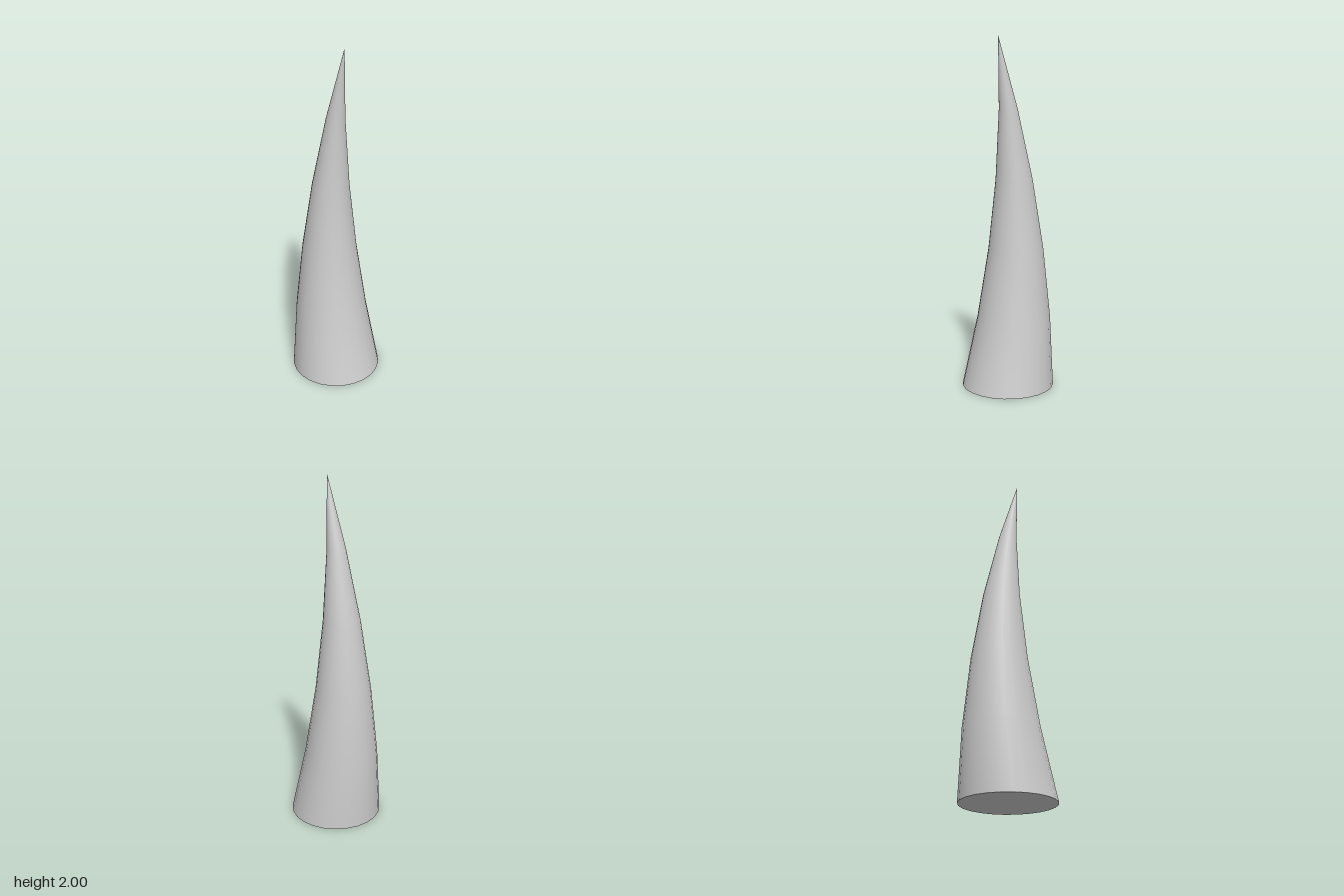
import * as THREE from 'three';

const HEIGHT = 2;
const RADIUS = 0.265;

// Sideways bend of the horn axis: a parabola leaning to -x, then curling to +x
const A = -0.298, B = 0.368;
const offset = (t) => A * t + B * t * t;
const slope = (t) => (A + 2 * B * t) / HEIGHT;

export function createModel() {
  const group = new THREE.Group();
  group.name = 'horn';

  // Tapered cone standing on the ground, with a closed base
  const geometry = new THREE.ConeGeometry(RADIUS, HEIGHT, 24, 5);
  geometry.translate(0, HEIGHT / 2, 0);

  // Shift each ring along the bend and shear its normals to match
  const pos = geometry.attributes.position;
  const nor = geometry.attributes.normal;
  const n = new THREE.Vector3();
  for (let i = 0; i < pos.count; i++) {
    const t = pos.getY(i) / HEIGHT;
    pos.setX(i, pos.getX(i) + offset(t));
    n.fromBufferAttribute(nor, i);
    n.y -= slope(t) * n.x;
    n.normalize();
    nor.setXYZ(i, n.x, n.y, n.z);
  }

  const horn = new THREE.Mesh(geometry, new THREE.MeshStandardMaterial({ color: 0xcccccc }));
  horn.name = 'curvedHorn';
  group.add(horn);
  return group;
}
